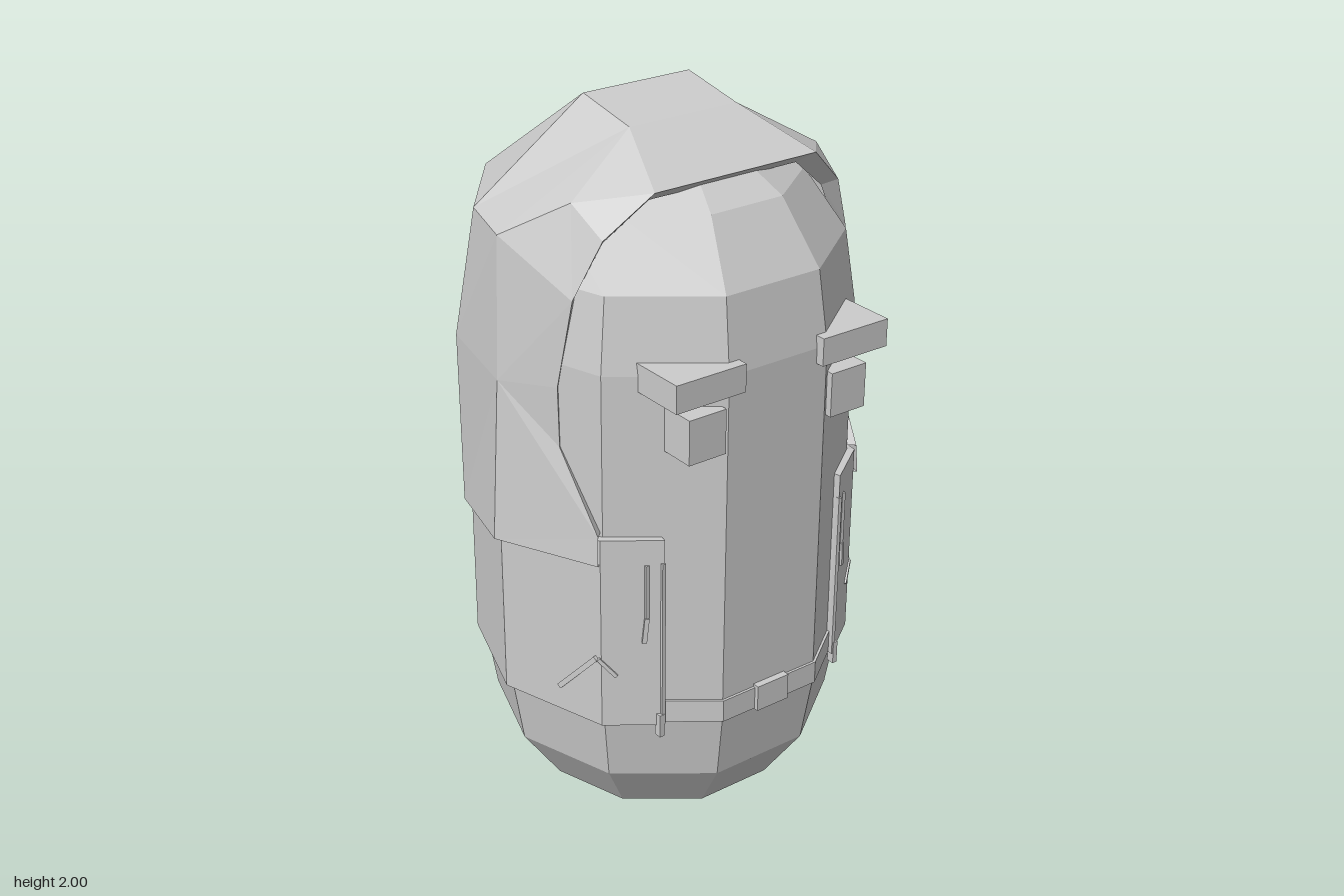
import * as THREE from 'three';

const material = new THREE.MeshStandardMaterial({ color: 0xcccccc, flatShading: true, side: THREE.DoubleSide });
const AXIS_Z = 0.07; // centre of the ten-sided body

function part(name, geometry) {
  const mesh = new THREE.Mesh(geometry, material);
  mesh.name = name;
  return mesh;
}

// Flat-shaded geometry from a list of convex polygons, corners counter-clockwise
function polygons(list) {
  const pos = [];
  for (const p of list)
    for (let i = 1; i < p.length - 1; i++) pos.push(...p[0], ...p[i], ...p[i + 1]);
  const g = new THREE.BufferGeometry();
  g.setAttribute('position', new THREE.Float32BufferAttribute(pos, 3));
  g.computeVertexNormals();
  return g;
}

const mirror = ([x, y, z]) => [-x, y, z];
const mirrorFace = (f) => f.map(mirror).reverse();

function box(name, x0, x1, y0, y1, z0, z1) {
  const m = part(name, new THREE.BoxGeometry(x1 - x0, y1 - y0, z1 - z0));
  m.position.set((x0 + x1) / 2, (y0 + y1) / 2, (z0 + z1) / 2);
  return m;
}

// Thin bar from a to b
function bar(name, a, b, thickness) {
  const p = new THREE.Vector3(...a), q = new THREE.Vector3(...b);
  const m = part(name, new THREE.BoxGeometry(thickness, thickness, p.distanceTo(q)));
  m.position.copy(p).add(q).multiplyScalar(0.5);
  m.lookAt(q);
  return m;
}

// Wall with thickness along plan points [outer, inner, top]
function wall(plan, bottom) {
  const faces = [];
  const at = ([x, z], y) => [x, y, z];
  for (let i = 0; i < plan.length - 1; i++) {
    const [o, n, t] = plan[i], [o2, n2, t2] = plan[i + 1];
    faces.push([at(o, bottom), at(o2, bottom), at(o2, t2), at(o, t)]);
    faces.push([at(o, t), at(o2, t2), at(n2, t2), at(n, t)]);
    faces.push([at(n, bottom), at(n2, bottom), at(o2, bottom), at(o, bottom)]);
    faces.push([at(n2, bottom), at(n, bottom), at(n, t), at(n2, t2)]);
  }
  const [o, n, t] = plan[0], [p, q, u] = plan[plan.length - 1];
  faces.push([at(n, bottom), at(o, bottom), at(o, t), at(n, t)]);
  faces.push([at(p, bottom), at(q, bottom), at(q, u), at(p, u)]);
  return polygons(faces);
}

const onRing = (r, deg) => {
  const a = THREE.MathUtils.degToRad(deg);
  return [r * Math.sin(a), AXIS_Z + r * Math.cos(a)];
};

function makeBody() {
  const profile = [[0, 0], [0.185, 0.04], [0.345, 0.145], [0.455, 0.305], [0.485, 0.49],
    [0.485, 1.46], [0.455, 1.65], [0.345, 1.81], [0.185, 1.91], [0, 1.95]];
  const g = new THREE.LatheGeometry(profile.map(([r, y]) => new THREE.Vector2(r, y)), 10, Math.PI / 10);
  return part('body', g.translate(0, 0, AXIS_Z));
}

function makeJacket() {
  // Starts at the left front edge and runs round the back to the right
  const plan = [[[0.28, 0.458], [0.275, 0.43], 1.03]];
  for (let deg = 54; deg <= 306; deg += 36)
    plan.push([onRing(0.505, deg), onRing(0.48, deg), deg === 54 || deg === 306 ? 1.03 : 0.98]);
  plan.push([[-0.28, 0.458], [-0.275, 0.43], 1.03]);
  return part('jacket', wall(plan, 0.49));
}

function makeBelt() {
  const plan = [-54, -18, 18, 54].map((deg) => [onRing(0.492, deg), onRing(0.475, deg), 0.555]);
  return part('belt', wall(plan, 0.492));
}

function makeHood() {
  // Left half: hem, middle and upper rows, each from the opening to the back
  const hem = [[0.418, 0.962, 0.372], [0.522, 0.935, 0.065], [0.425, 0.885, -0.238], [0.165, 0.91, -0.43]];
  const mid = [[0.435, 1.24, 0.24], [0.497, 1.37, 0.065], [0.435, 1.37, -0.225], [0.16, 1.31, -0.555]];
  const up = [[0.418, 1.63, 0.28], [0.48, 1.74, 0.06], [0.42, 1.735, -0.14], [0.16, 1.69, -0.5]];
  const corner = [0.414, 1.04, 0.368], dent = [0.438, 1.4, 0.24];
  const cheek = [0.355, 1.775, 0.315], brow = [0.24, 1.88, 0.36], temple = [0.37, 1.84, 0.21];
  const crownFront = [0.16, 1.965, 0.15], crown = [0.16, 2, -0.04];

  const half = [
    [hem[0], hem[1], mid[1], corner], [corner, mid[1], mid[0]],
    [mid[0], mid[1], dent], [dent, mid[1], up[1], up[0]],
    [up[0], temple, cheek], [cheek, temple, brow], [up[0], up[1], temple],
    [brow, temple, crownFront], [temple, up[1], crownFront],
    [up[1], up[2], crownFront], [crownFront, up[2], crown], [crown, up[2], up[3]],
  ];
  for (const [low, high] of [[hem, mid], [mid, up]])
    for (let i = 1; i < 3; i++) {
      half.push([low[i], low[i + 1], high[i]]);
      half.push([low[i + 1], high[i + 1], high[i]]);
    }

  // Rim around the face and underside of the hem, both turned in to the body
  const inward = ([x, y, z]) => [x * 0.93, y, AXIS_Z + (z - AXIS_Z) * 0.93];
  const rim = [corner, mid[0], dent, up[0], cheek, brow];
  const rimIn = [...rim.slice(0, 4).map(([x, y, z]) => [x - 0.02, y, z - 0.02]),
    [0.33, 1.755, 0.28], [0.22, 1.845, 0.31]];
  for (let i = 0; i < 5; i++) half.push([rim[i], rim[i + 1], rimIn[i + 1], rimIn[i]]);
  for (let i = 0; i < 3; i++) half.push([hem[i + 1], hem[i], inward(hem[i]), inward(hem[i + 1])]);

  // Middle strip from the face opening over the crown and down the back
  const strip = [rimIn[5], brow, crownFront, crown, up[3], mid[3], hem[3], inward(hem[3])];
  const centre = [];
  for (let i = 0; i < strip.length - 1; i++)
    centre.push([strip[i], mirror(strip[i]), mirror(strip[i + 1]), strip[i + 1]].reverse());
  return part('hood', polygons([...half, ...half.map(mirrorFace), ...centre]));
}

export function createModel() {
  const model = new THREE.Group();
  model.name = 'hoodedFigure';
  model.add(makeBody(), makeJacket(), makeBelt(), makeHood());
  model.add(box('buckle', -0.05, 0.05, 0.49, 0.563, 0.5, 0.55));

  for (const s of [1, -1]) {
    const side = s > 0 ? 'left' : 'right';
    const pair = (x0, x1) => (s > 0 ? [x0, x1] : [-x1, -x0]);
    model.add(box(side + 'Eye', ...pair(0.163, 0.272), 1.265, 1.383, 0.43, 0.54));
    model.add(box(side + 'Eyebrow', ...pair(0.118, 0.322), 1.42, 1.493, 0.4, 0.555));
    // Jacket front details
    model.add(box(side + 'Zip', ...pair(0.278, 0.288), 0.49, 0.965, 0.43, 0.46));
    model.add(box(side + 'ZipPull', ...pair(0.282, 0.296), 0.46, 0.525, 0.44, 0.462));
    model.add(bar(side + 'Drawstring', [s * 0.316, 0.96, 0.432], [s * 0.316, 0.81, 0.432], 0.01));
    model.add(bar(side + 'DrawstringEnd', [s * 0.316, 0.81, 0.433], [s * 0.322, 0.74, 0.43], 0.012));
    model.add(bar(side + 'PocketSlash', [s * 0.414, 0.69, 0.355], [s * 0.448, 0.56, 0.24], 0.014));
    model.add(bar(side + 'PocketEdge', [s * 0.414, 0.69, 0.362], [s * 0.378, 0.64, 0.389], 0.01));
  }
  return model;
}
